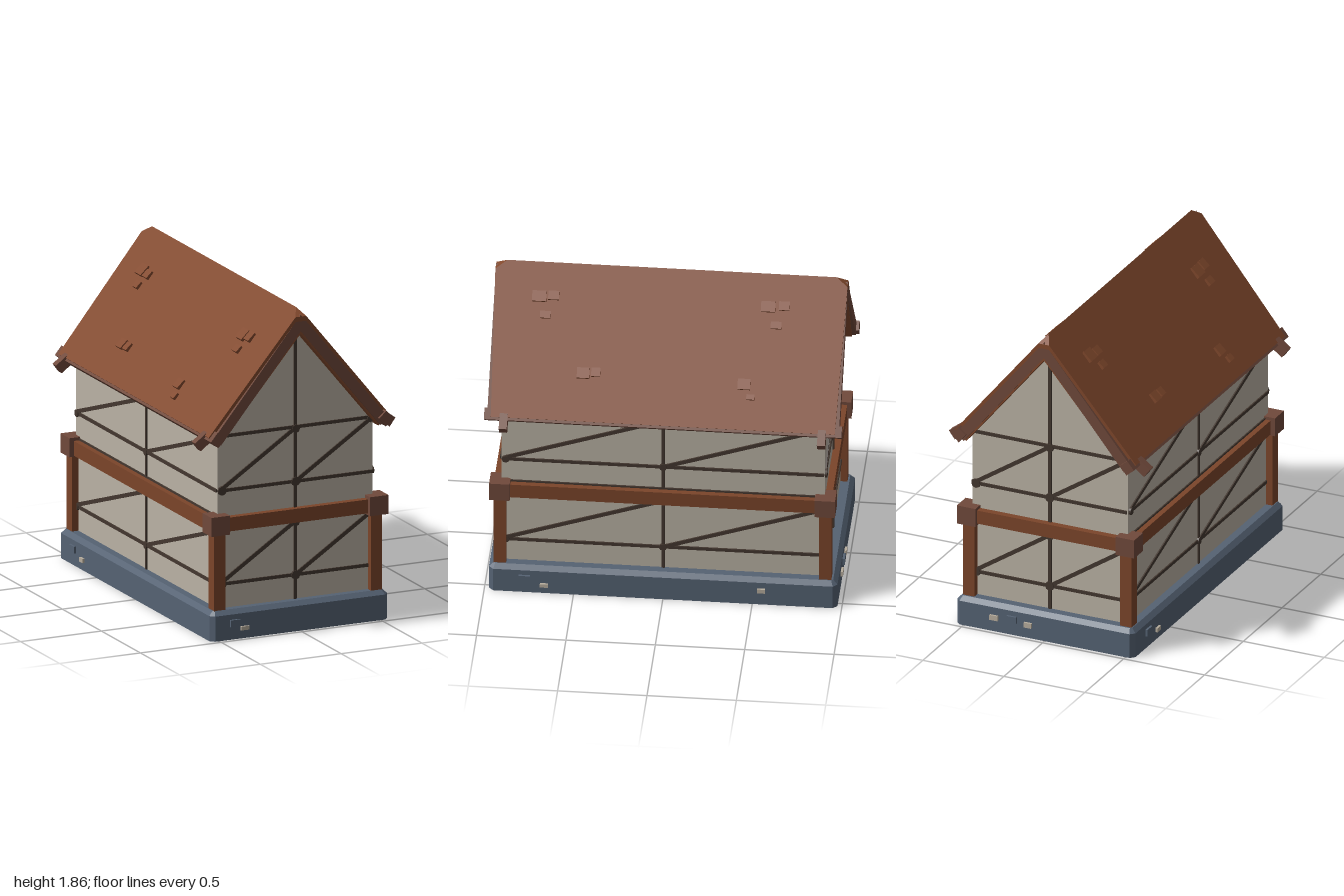
import * as THREE from 'three';

const mat = (name, color) => {
  const m = new THREE.MeshStandardMaterial({ color });
  m.name = name;
  return m;
};

export function createModel() {
  const M = {
    roof: mat('terracotta roof', 0x82492d),
    beam: mat('red brown timber', 0x7b452a),
    joint: mat('dull brown timber', 0x70493b),
    wall: mat('plaster', 0xbab2a4),
    dark: mat('dark timber', 0x43372f),
    base: mat('slate stone', 0x556273),
    pale: mat('pale stone', 0xb7ad9d),
  };
  const house = new THREE.Group();
  house.name = 'house';

  const add = (name, geo, material, parent = house) => {
    const mesh = new THREE.Mesh(geo, material);
    mesh.name = name;
    parent.add(mesh);
    return mesh;
  };
  const box = (name, material, w, h, d, x, y, z, parent = house) => {
    const b = add(name, new THREE.BoxGeometry(w, h, d), material, parent);
    b.position.set(x, y, z);
    return b;
  };
  const shape = pts => new THREE.Shape(pts.map(p => new THREE.Vector2(...p)));
  const slab = (pts, z0, z1) =>
    new THREE.ExtrudeGeometry(shape(pts), { depth: z1 - z0, bevelEnabled: false }).translate(0, 0, z0);

  // Stone base with cut corners and a chamfered top edge
  const bx = 0.55, bz = 0.975, c = 0.025;
  const outline = shape([[bx, -bz + c], [bx, bz - c], [bx - c, bz], [-bx + c, bz],
    [-bx, bz - c], [-bx, -bz + c], [-bx + c, -bz], [bx - c, -bz]]);
  add('base', new THREE.ExtrudeGeometry(outline, { depth: 0.145, bevelEnabled: false })
    .rotateX(-Math.PI / 2), M.base);
  add('baseTop', new THREE.ExtrudeGeometry(outline, {
    depth: 0.001, bevelSegments: 1, bevelSize: c, bevelThickness: c, bevelOffset: -c,
  }).rotateX(-Math.PI / 2).translate(0, 0.144, 0), M.base);

  // Plaster walls with gables
  add('walls', slab([[-0.48, 0.1], [0.48, 0.1], [0.48, 1.15], [0, 1.74], [-0.48, 1.15]], -0.9, 0.91), M.wall);

  // Roof: chevron section whose ends lean in and are clipped at the ridge
  const slope = 0.68 / 0.56, angle = Math.atan(slope), top = 1.86;
  const roofY = x => top - slope * Math.abs(x);
  const roofGeo = slab([[0, top], [0.033, roofY(0.033)], [0.56, 1.18], [0.491, 1.123], [0, 1.72],
    [-0.491, 1.123], [-0.56, 1.18], [-0.033, roofY(0.033)]], -1, 1);
  const pos = roofGeo.attributes.position;
  for (let i = 0; i < pos.count; i++) {
    const y = pos.getY(i);
    const end = y > 1.82 ? 0.985 - (y - 1.82) * 1.6 : 0.96 + 0.025 * (y - 1.12) / 0.7;
    pos.setZ(i, Math.sign(pos.getZ(i)) * end);
  }
  roofGeo.computeVertexNormals();
  add('roof', roofGeo, M.roof);

  // Barge boards on both gable ends
  const board = [[0, top - 0.03], [0.545, roofY(0.545) - 0.03], [0.494, 1.133], [0, 1.735],
    [-0.494, 1.133], [-0.545, roofY(0.545) - 0.03]];
  add('bargeBoardFront', slab(board, 0.94, 0.984), M.joint);
  add('bargeBoardBack', slab(board, -0.984, -0.94), M.joint);

  // Eave logs and rafter tails
  for (const s of [-1, 1]) {
    box('eaveLog', M.joint, 0.065, 0.06, 2, s * 0.52, 1.17, 0).rotation.z = -s * angle;
    for (const z of [-0.89, 0.89])
      box('rafterTail', M.joint, 0.13, 0.06, 0.045, s * 0.55, 1.157, z).rotation.z = -s * 0.64;
  }

  // Loose shingles: [x, z, length down the slope, width]
  const shingles = [
    [0.125, 0.73, 0.06, 0.08], [0.12, 0.65, 0.05, 0.06], [0.19, 0.69, 0.04, 0.06],
    [0.39, 0.46, 0.06, 0.07], [0.385, 0.39, 0.05, 0.05], [0.12, -0.55, 0.06, 0.08],
    [0.115, -0.64, 0.05, 0.06], [0.185, -0.6, 0.04, 0.06], [0.4, -0.44, 0.06, 0.07],
    [0.445, -0.48, 0.03, 0.045],
    [-0.18, 0.62, 0.07, 0.08], [-0.175, 0.7, 0.06, 0.06], [-0.235, 0.66, 0.045, 0.06],
    [-0.445, 0.35, 0.06, 0.065], [-0.49, 0.385, 0.04, 0.05], [-0.155, -0.72, 0.07, 0.08],
    [-0.16, -0.64, 0.05, 0.06], [-0.21, -0.67, 0.045, 0.055], [-0.42, -0.43, 0.06, 0.065],
    [-0.42, -0.36, 0.05, 0.05],
  ];
  for (const [x, z, len, w] of shingles) {
    const s = Math.sign(x);
    box('shingle', M.roof, len, 0.025, w, x, roofY(x) + 0.004, z).rotation.z = -s * (angle - 0.12);
  }

  // Outer frame: posts, beams and corner blocks
  for (const s of [-1, 1]) {
    for (const z of [-0.905, 0.915]) {
      box('post', M.beam, 0.07, 0.47, 0.07, s * 0.485, 0.395, z);
      box('cornerBlock', M.joint, 0.115, 0.11, 0.115, s * 0.49, 0.663, z);
    }
    box('sideBeam', M.beam, 0.07, 0.085, 1.8, s * 0.485, 0.657, 0.005);
    box('endBeam', M.beam, 0.96, 0.08, 0.07, 0, 0.66, s > 0 ? 0.915 : -0.905);
  }

  // Dark half-timbering, laid out on a plane facing +z
  function strip(parent, x0, y0, x1, y1, w) {
    const b = box('timberStrip', M.dark, Math.hypot(x1 - x0, y1 - y0), w, 0.016, (x0 + x1) / 2, (y0 + y1) / 2, 0, parent);
    b.rotation.z = Math.atan2(y1 - y0, x1 - x0);
  }
  function knot(parent, x, y, r) {
    const k = add('timberKnot', new THREE.CylinderGeometry(r, r, 0.026, 8).rotateX(Math.PI / 2), M.dark, parent);
    k.position.set(x, y, 0);
  }
  function framing(name, half, peak, w, r, rails, turn, x, z) {
    const g = new THREE.Group();
    g.name = name;
    g.position.set(x, 0, z);
    g.rotation.y = turn;
    strip(g, 0, 0.17, 0, peak, w);
    for (const y of rails) strip(g, -half, y, half, y, w);
    for (const y of [0.31, 0.85]) {
      strip(g, -half + 0.02, y + 0.01, 0, y + 0.31, w * 1.2);
      strip(g, 0, y, half - 0.02, y + 0.3, w * 1.2);
      for (const kx of [-half + 0.02, 0]) knot(g, kx, y, r);
      knot(g, 0, y + 0.305, r * 0.9);
      knot(g, half - 0.015, y + 0.305, r * 0.7);
    }
    house.add(g);
  }
  const endRails = [0.31, 0.85, 1.165], sideRails = [0.31, 0.7, 0.85];
  framing('frontFraming', 0.475, 1.72, 0.019, 0.027, endRails, 0, 0, 0.91);
  framing('backFraming', 0.475, 1.72, 0.019, 0.027, endRails, Math.PI, 0, -0.9);
  framing('rightFraming', 0.9, 1.14, 0.019, 0.022, sideRails, Math.PI / 2, 0.48, 0.005);
  framing('leftFraming', 0.9, 1.14, 0.019, 0.022, sideRails, -Math.PI / 2, -0.48, 0.005);

  // Raised stones in the base: [x, y, width, height, material]
  const D = M.base, P = M.pale;
  const stones = [
    [0, 0, bz, [[-0.405, 0.095, 0.06, 0.04, D], [-0.345, 0.06, 0.05, 0.022, P]]],
    [Math.PI, 0, -bz, [[-0.31, 0.085, 0.05, 0.03, P], [-0.2, 0.095, 0.06, 0.04, D], [-0.1, 0.08, 0.045, 0.03, P]]],
    [Math.PI / 2, bx, 0, [[-0.775, 0.095, 0.065, 0.04, D], [-0.665, 0.055, 0.045, 0.022, P], [0.55, 0.095, 0.045, 0.026, P]]],
    [-Math.PI / 2, -bx, 0, [[-0.79, 0.095, 0.065, 0.04, D], [-0.67, 0.06, 0.045, 0.025, P]]],
  ];
  for (const [turn, x, z, list] of stones) {
    const g = new THREE.Group();
    g.name = 'baseStones';
    g.position.set(x, 0, z);
    g.rotation.y = turn;
    for (const [sx, sy, w, h, m] of list) box('stone', m, w, h, 0.026, sx, sy, 0, g);
    house.add(g);
  }
  return house;
}
